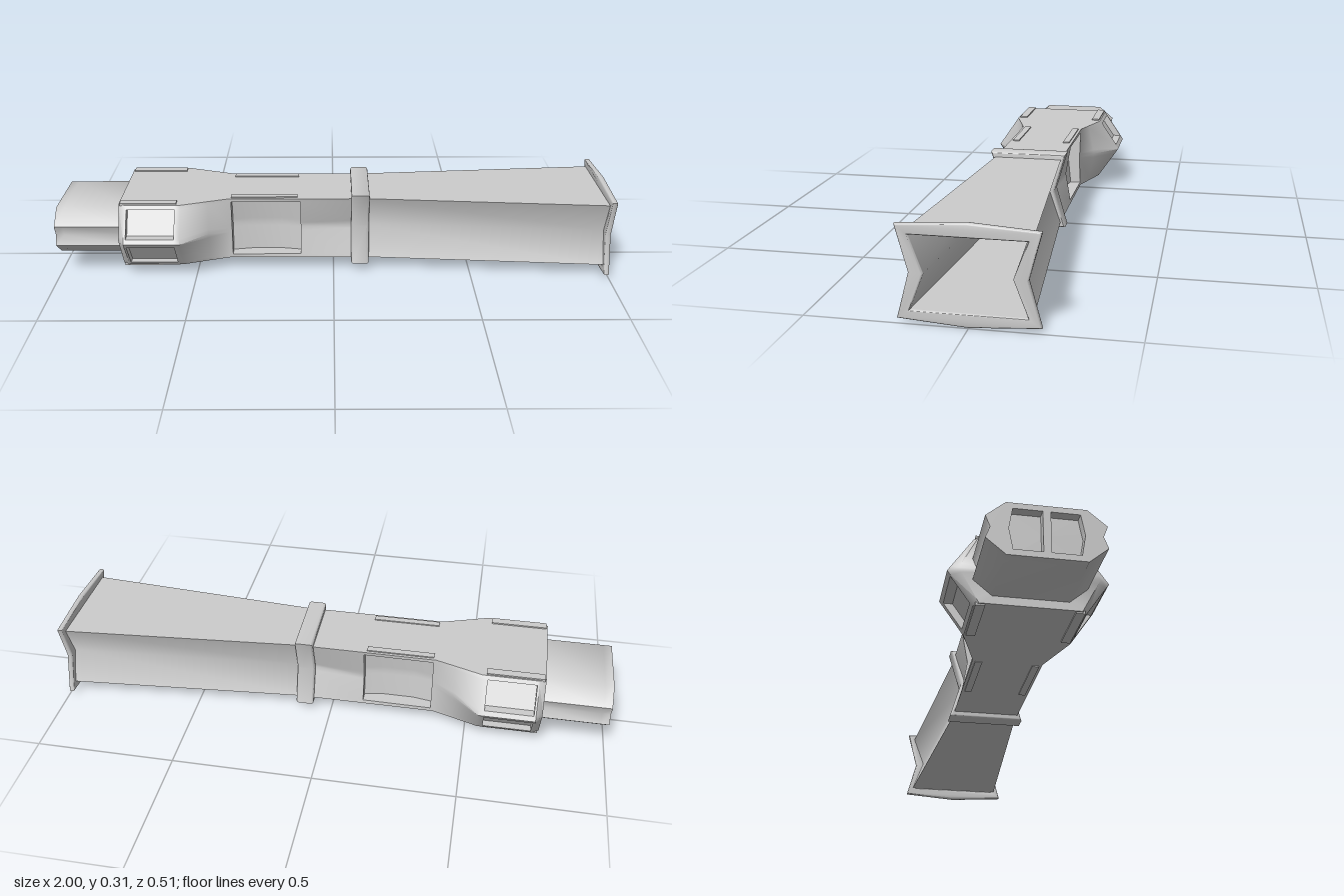
import * as THREE from 'three';
import { toCreasedNormals } from 'three/addons/utils/BufferGeometryUtils.js';

const TOP = 0.28, BOTTOM = 0.045, MID = 0.1625;
const solid = new THREE.MeshStandardMaterial({ color: 0xcccccc });
const shell = new THREE.MeshStandardMaterial({ color: 0xcccccc, side: THREE.DoubleSide });

function addMesh(group, name, geometry, material = solid) {
  const mesh = new THREE.Mesh(geometry, material);
  mesh.name = name;
  group.add(mesh);
  return mesh;
}

// Mirrors a +z side profile (listed from top to bottom) into a closed loop
const reflect = (side) => side.map(([z, y]) => [-z, y]).reverse();
const mirrored = (side) => [...side, ...reflect(side)];

// Six-point outline: corner half width, half width at mid height, top, bottom
const outline = (corner, middle, top = TOP, bottom = BOTTOM) =>
  mirrored([[corner, top], [middle, (top + bottom) / 2], [corner, bottom]]);

// Skins a list of { x, loop } cross-sections running towards +x
function loft(sections, { inward = false, caps = false } = {}) {
  const positions = [];
  const tri = (a, b, c) => positions.push(...a, ...(inward ? [...c, ...b] : [...b, ...c]));
  const rings = sections.map(({ x, loop }) => loop.map(([z, y]) => [x, y, z]));
  const n = rings[0].length;
  for (let k = 0; k < rings.length - 1; k++) {
    for (let i = 0; i < n; i++) {
      const j = (i + 1) % n;
      const a = rings[k][i], b = rings[k][j], c = rings[k + 1][j], d = rings[k + 1][i];
      tri(a, b, c);
      tri(a, c, d);
    }
  }
  if (caps) {
    const first = rings[0], last = rings[rings.length - 1];
    for (let i = 0; i < n; i++) {
      const j = (i + 1) % n;
      tri([first[0][0], MID, 0], first[j], first[i]);
      tri([last[0][0], MID, 0], last[i], last[j]);
    }
  }
  const geometry = new THREE.BufferGeometry();
  geometry.setAttribute('position', new THREE.Float32BufferAttribute(positions, 3));
  return toCreasedNormals(geometry, 0.8);
}

// Plate lying across the x axis from x0 to x1, with optional holes and a bevel.
// The outer loop is reversed to run counterclockwise, so hole walls face inward.
function plate(loop, x0, x1, holes = [], bevel = 0) {
  const points = (list) => list.map(([z, y]) => new THREE.Vector2(z, y));
  const shape = new THREE.Shape(points(loop).reverse());
  shape.holes = holes.map((hole) => new THREE.Path(points(hole)));
  const geometry = new THREE.ExtrudeGeometry(shape, {
    depth: x1 - x0 - 2 * bevel, bevelEnabled: bevel > 0,
    bevelSize: bevel, bevelThickness: bevel, bevelOffset: -bevel, bevelSegments: 3,
  });
  geometry.rotateY(Math.PI / 2).translate(x0 + bevel, 0, 0);
  return toCreasedNormals(geometry, 0.75);
}

// Hull cross-section; 'window' sinks the slanted faces, 'bay' sinks the whole side
function hullLoop(corner, middle, recess, depth) {
  const sideAt = (y) => {
    const half = y > MID ? TOP - MID : MID - BOTTOM;
    return middle + (corner - middle) * Math.abs(y - MID) / half;
  };
  const inner = (y) => {
    if (recess === 'window') return sideAt(y) - depth;
    if (recess === 'bay') return depth + 0.01 * Math.abs(y - MID) / 0.1;
    return sideAt(y);
  };
  const rim = (y) => (recess === 'bay' ? inner(y) : sideAt(y));
  return mirrored([
    [corner, TOP],
    [sideAt(0.267), 0.267], [inner(0.267), 0.267], [inner(0.178), 0.178], [rim(0.178), 0.178],
    [rim(MID), MID],
    [rim(0.147), 0.147], [inner(0.147), 0.147], [inner(0.058), 0.058], [sideAt(0.058), 0.058],
    [corner, BOTTOM],
  ]);
}

export function createModel() {
  const model = new THREE.Group();
  model.name = 'hull';

  // Main hull: wide rear bulge with windows, then the waist with its side bays
  const hull = [
    [-0.765, 0.16, 0.222],
    [-0.742, 0.175, 0.255],
    [-0.735, 0.175, 0.255],
    [-0.735, 0.175, 0.255, 'window', 0.03],
    [-0.565, 0.175, 0.255, 'window', 0.03],
    [-0.565, 0.175, 0.255],
    [-0.545, 0.175, 0.255],
    [-0.45, 0.143, 0.165],
    [-0.38, 0.12, 0.118],
    [-0.37, 0.12, 0.116],
    [-0.37, 0.12, 0.116, 'bay', 0.07],
    [-0.3, 0.12, 0.112, 'bay', 0.058],
    [-0.19, 0.12, 0.104, 'bay', 0.058],
    [-0.12, 0.12, 0.1, 'bay', 0.07],
    [-0.12, 0.12, 0.1],
    [0.08, 0.12, 0.08],
  ].map(([x, ...rest]) => ({ x, loop: hullLoop(...rest) }));
  addMesh(model, 'mainHull', loft(hull, { caps: true }));

  // Rear block with a shallow side groove, and its end plate with two sunken windows
  const rear = mirrored([[0.12, 0.249], [0.18, 0.198], [0.166, 0.161], [0.18, 0.124], [0.12, 0.073]]);
  addMesh(model, 'rearBlock', loft([{ x: -0.97, loop: rear }, { x: -0.74, loop: rear }], { caps: true }));
  const windowSide = [[0.012, 0.23], [0.1, 0.23], [0.112, 0.161], [0.1, 0.093], [0.012, 0.093]];
  addMesh(model, 'rearWindowFrame', plate(rear, -1, -0.97, [windowSide, reflect(windowSide)]));

  // Slim raised strips above and below the windows and bays
  for (const side of [-1, 1]) {
    for (const y of [TOP, BOTTOM]) {
      addMesh(model, 'windowStrip', new THREE.BoxGeometry(0.2, 0.01, 0.03))
        .position.set(-0.66, y, side * 0.155);
      addMesh(model, 'bayStrip', new THREE.BoxGeometry(0.24, 0.008, 0.024))
        .position.set(-0.25, y, side * 0.098);
    }
  }

  // Collar between hull and flared tube
  addMesh(model, 'collar', plate(outline(0.137, 0.097, 0.299, 0.026), 0.065, 0.13, [], 0.008));

  // Flared hollow tube with pinched sides
  addMesh(model, 'tubeOutside', loft([
    { x: 0.1, loop: outline(0.118, 0.078) },
    { x: 0.985, loop: outline(0.187, 0.143) },
  ]), shell);
  const mouth = outline(0.173, 0.13, 0.271, 0.044);
  addMesh(model, 'tubeInside', loft([
    { x: 0.12, loop: outline(0.105, 0.064, 0.271, 0.047) },
    { x: 0.99, loop: mouth },
  ], { inward: true }), shell);

  // Flange around the mouth, slightly crowned at top and bottom
  const flank = [[0.213, 0.301], [0.175, 0.158], [0.213, 0.016]];
  const rim = [[0, 0.315], ...flank, [0, 0.001], ...reflect(flank)];
  addMesh(model, 'mouthFlange', plate(rim, 0.98, 1, [mouth], 0.006), shell);

  return model;
}
